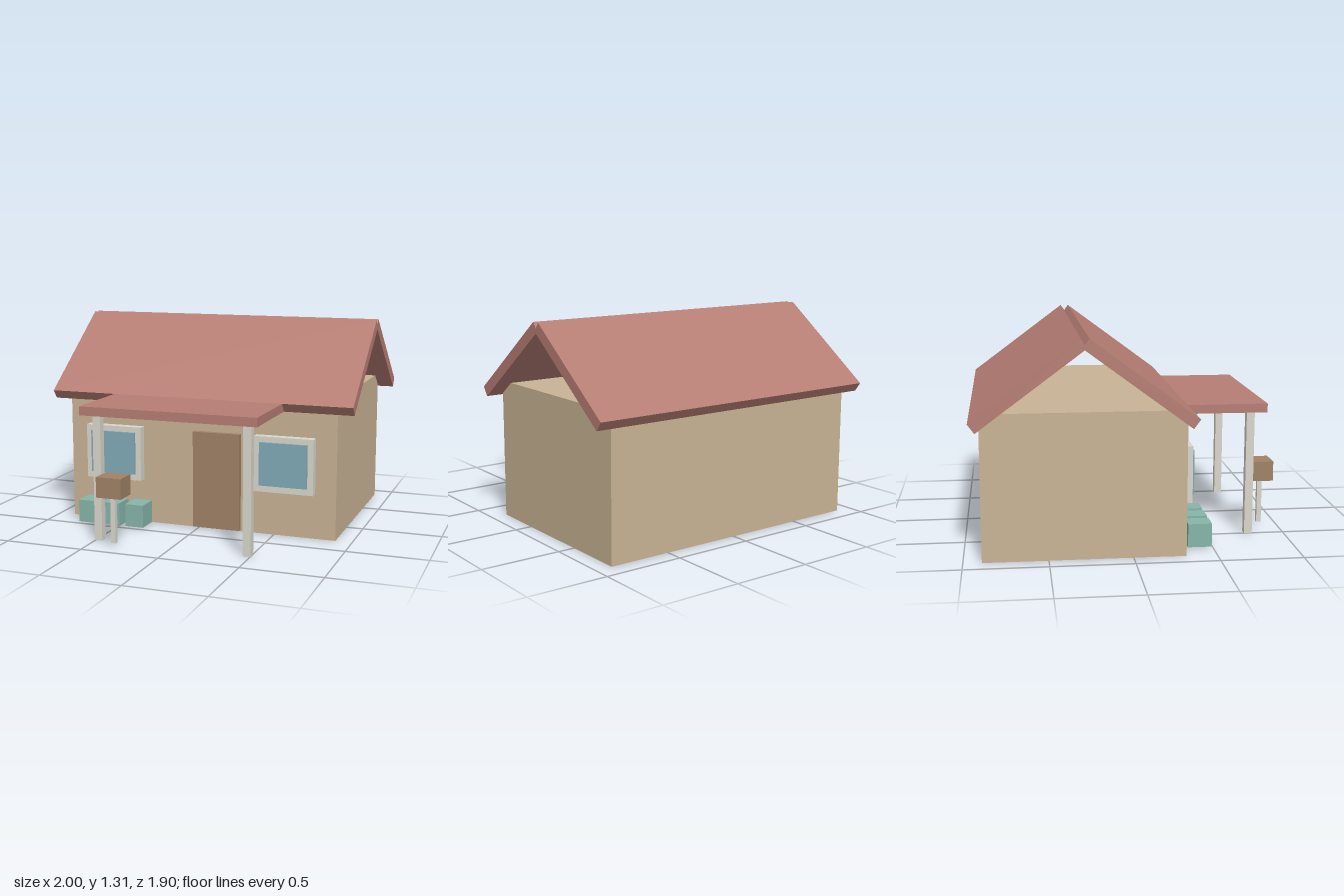
import * as THREE from 'three';

const paint = (color) => new THREE.MeshStandardMaterial({ color });

export function createModel() {
  const house = new THREE.Group();
  house.name = 'house';

  const wall = paint(0xc8b394);
  const roof = paint(0xb57d73);
  const wood = paint(0x9f8166);
  const trim = paint(0xd9d7cb);
  const glass = paint(0x7faab8);
  const green = paint(0x86b5a9);

  // Adds a box given by its extents along each axis
  const block = (name, material, [x0, x1], [y0, y1], [z0, z1]) => {
    const mesh = new THREE.Mesh(new THREE.BoxGeometry(x1 - x0, y1 - y0, z1 - z0), material);
    mesh.position.set((x0 + x1) / 2, (y0 + y1) / 2, (z0 + z1) / 2);
    mesh.name = name;
    house.add(mesh);
    return mesh;
  };

  block('walls', wall, [-0.895, 0.895], [0, 0.88], [-0.89, 0.315]);

  // Two pitched slabs crossing at the ridge, with open gables
  const ridgeZ = -0.29;
  const pitch = Math.atan2(0.47, 0.633);
  for (const side of [1, -1]) {
    const slab = block('roofSlab', roof, [-1, 1], [-0.034, 0.034], [-0.394, 0.394]);
    slab.position.set(0, 1.0525, ridgeZ + side * 0.323);
    slab.rotation.x = side * pitch;
  }

  // Flat porch roof on two posts
  block('porchRoof', roof, [-0.56, 0.56], [0.79, 0.845], [0.315, 0.866]);
  for (const x of [-0.48, 0.48]) {
    block('porchPost', trim, [x - 0.025, x + 0.025], [0, 0.79], [0.75, 0.8]);
  }

  block('door', wood, [-0.03, 0.28], [0.01, 0.63], [0.31, 0.35]);

  // Framed windows either side of the door
  for (const x of [-0.572, 0.572]) {
    block('windowFrame', trim, [x - 0.19, x + 0.19], [0.285, 0.635], [0.315, 0.37]);
    block('windowPane', glass, [x - 0.153, x + 0.153], [0.327, 0.6], [0.33, 0.385]);
  }

  // Row of planters under the window
  for (const x of [-0.71, -0.545, -0.38]) {
    block('planter', green, [x - 0.061, x + 0.061], [0.01, 0.155], [0.345, 0.49]);
  }

  // Mailbox
  block('mailboxPost', trim, [-0.35, -0.32], [0.025, 0.32], [0.865, 0.895]);
  block('mailbox', wood, [-0.416, -0.254], [0.315, 0.44], [0.81, 0.95]);

  return house;
}
